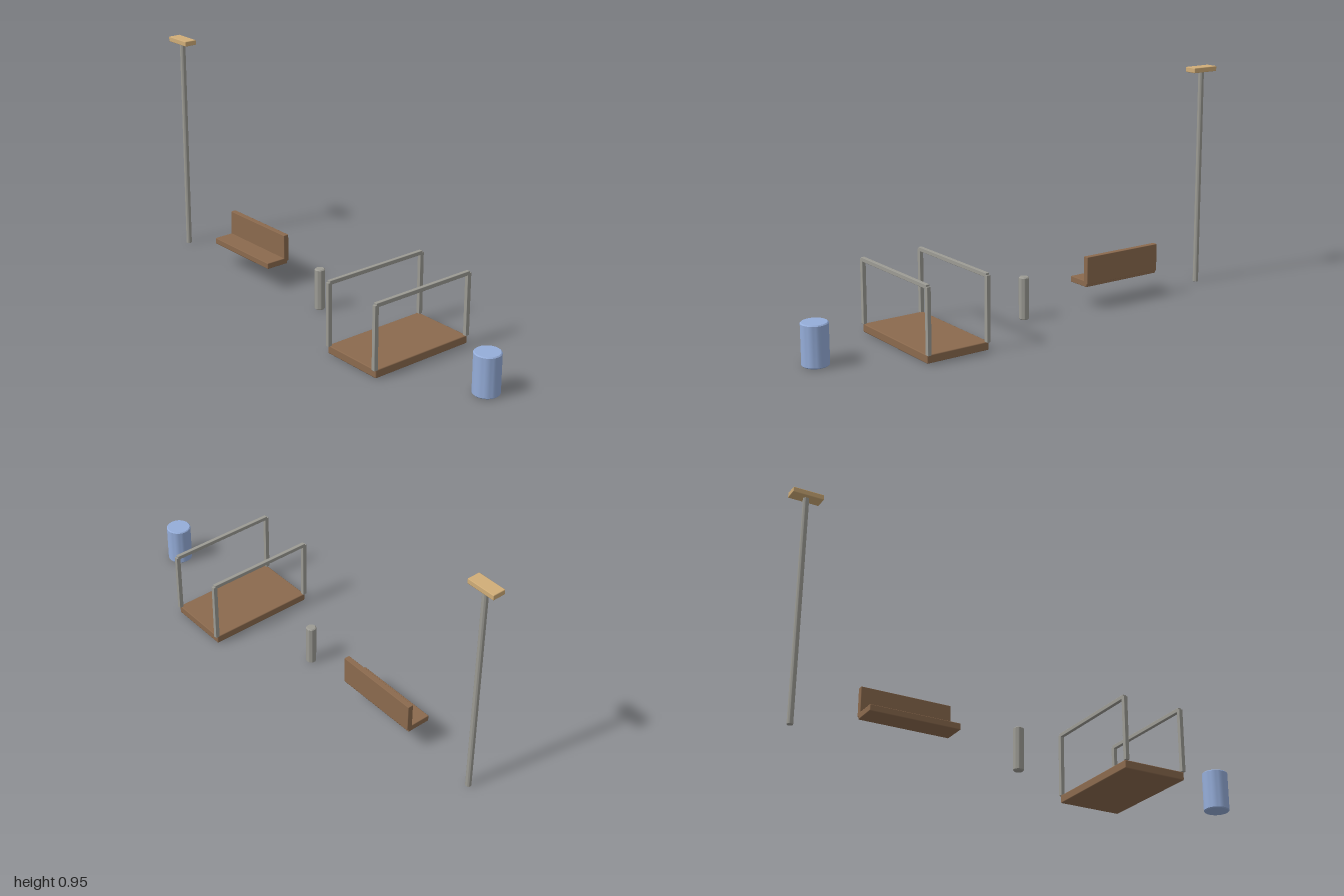
import * as THREE from 'three';
import { RoundedBoxGeometry } from 'three/addons/geometries/RoundedBoxGeometry.js';
import { toCreasedNormals } from 'three/addons/utils/BufferGeometryUtils.js';

const material = (name, color) => {
  const m = new THREE.MeshStandardMaterial({ color });
  m.name = name;
  return m;
};

export function createModel() {
  const model = new THREE.Group();
  model.name = 'parkFurniture';
  const wood = material('brown wood', 0x8b6a4e);
  const metal = material('grey metal', 0x9c9b94);
  const lampShade = material('warm tan', 0xd0ad78);
  const blue = material('blue paint', 0x95add9);

  const group = (name, x) => {
    const g = new THREE.Group();
    g.name = name;
    g.position.x = x;
    model.add(g);
    return g;
  };
  const add = (parent, name, geometry, mat, x, y, z) => {
    const mesh = new THREE.Mesh(geometry, mat);
    mesh.name = name;
    mesh.position.set(x, y, z);
    parent.add(mesh);
  };
  // Box with softened edges, resting on height y
  const box = (parent, name, [w, h, d], mat, [x, y, z], bevel = 0.003) =>
    add(parent, name, new RoundedBoxGeometry(w, h, d, 1, bevel), mat, x, y + h / 2, z);
  // Upright cylinder with chamfered rims, standing on the ground
  const post = (parent, name, r, h, bevel, mat) => {
    const profile = [[0, 0], [r - bevel, 0], [r, bevel], [r, h - bevel], [r - bevel, h], [0, h]]
      .map(([x, y]) => new THREE.Vector2(x, y));
    add(parent, name, toCreasedNormals(new THREE.LatheGeometry(profile, 32), 0.6), mat, 0, 0, 0);
  };

  // Street lamp
  const lamp = group('streetLamp', -0.937);
  post(lamp, 'lampPole', 0.012, 0.932, 0.001, metal);
  box(lamp, 'lampHead', [0.126, 0.022, 0.056], lampShade, [0, 0.931, 0]);

  // Bench
  const bench = group('bench', -0.467);
  box(bench, 'benchSeat', [0.375, 0.026, 0.104], wood, [0, 0.096, 0]);
  box(bench, 'benchBack', [0.375, 0.117, 0.024], wood, [0, 0.108, -0.047], 0.002);

  // Bollard
  post(group('bollard', 0), 'bollardPost', 0.021, 0.178, 0.004, metal);

  // Footbridge with a railing on each side
  const bridge = group('footbridge', 0.473);
  box(bridge, 'bridgeDeck', [0.276, 0.034, 0.472], wood, [0, 0, 0], 0.004);
  for (const side of [-1, 1]) {
    const x = side * 0.132;
    for (const end of [-1, 1]) {
      box(bridge, 'railPost', [0.016, 0.264, 0.018], metal, [x, 0.033, end * 0.236], 0.001);
    }
    box(bridge, 'handrail', [0.016, 0.017, 0.475], metal, [x, 0.288, 0], 0.002);
  }

  // Litter bin
  post(group('litterBin', 0.947), 'binBody', 0.053, 0.167, 0.004, blue);

  return model;
}
